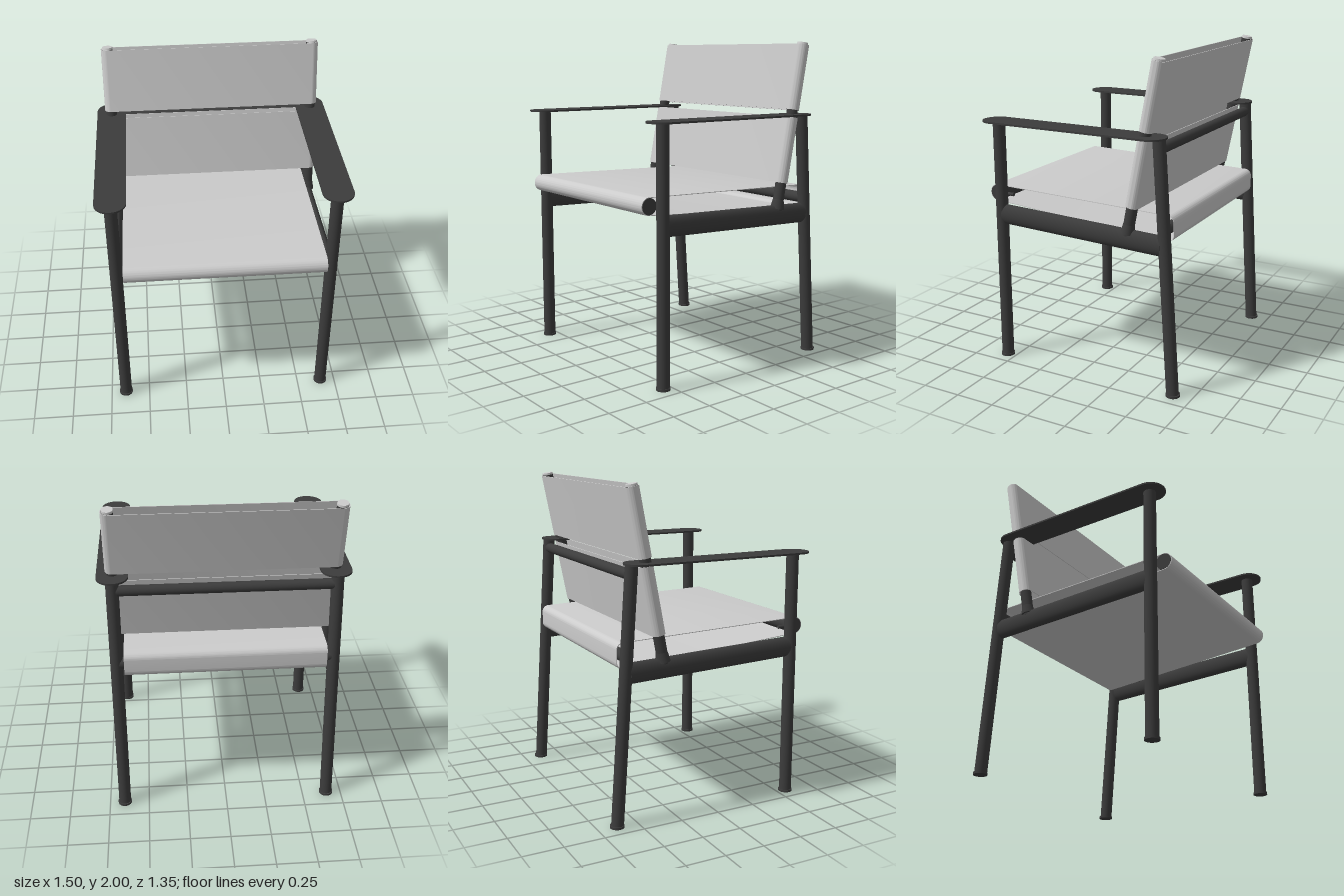
import * as THREE from 'three';
import { toCreasedNormals } from 'three/addons/utils/BufferGeometryUtils.js';

const dark = new THREE.MeshStandardMaterial({ color: 0x3c3c3c });
const fabric = new THREE.MeshStandardMaterial({ color: 0xcccccc, side: THREE.DoubleSide });
const cap = new THREE.MeshStandardMaterial({ color: 0xcccccc });
const UP = new THREE.Vector3(0, 1, 0);
const SIDE_X = 0.655;

function add(parent, name, geometry, material) {
  const mesh = new THREE.Mesh(geometry, material);
  mesh.name = name;
  parent.add(mesh);
  return mesh;
}

// Round or oval bar between two points
function bar(parent, name, a, b, r, material = dark, rEnd = r, widthScale = 1) {
  const from = new THREE.Vector3(...a), to = new THREE.Vector3(...b);
  const dir = to.clone().sub(from);
  const mesh = add(parent, name, new THREE.CylinderGeometry(rEnd, r, dir.length(), 32), material);
  mesh.scale.x = widthScale;
  mesh.position.copy(from).add(to).multiplyScalar(0.5);
  mesh.quaternion.setFromUnitVectors(UP, dir.normalize());
  return mesh;
}

// Outline stretched around circles [x, y, r] listed counterclockwise
function wrap(path, circles, inset = 0) {
  const n = circles.length;
  const normals = circles.map(([x, y, r], i) => {
    const [x2, y2, r2] = circles[(i + 1) % n];
    const dx = x2 - x, dy = y2 - y;
    return Math.atan2(dy, dx) - Math.acos((r - r2) / Math.hypot(dx, dy));
  });
  circles.forEach(([x, y, r], i) => {
    const start = normals[(i + n - 1) % n];
    let end = normals[i];
    while (end <= start) end += Math.PI * 2;
    while (end - start > Math.PI * 2) end -= Math.PI * 2;
    path.absarc(x, y, r - inset, start, end, false);
  });
  return path;
}

// Extruded wrap; with a thickness it becomes a hollow sleeve
function wrapped(circles, depth, thickness = 0) {
  const shape = wrap(new THREE.Shape(), circles);
  if (thickness) shape.holes.push(wrap(new THREE.Path(), circles, thickness));
  const g = new THREE.ExtrudeGeometry(shape, { depth, bevelEnabled: false, curveSegments: 20 });
  return toCreasedNormals(g, 0.6);
}

function createSide(s) {
  const side = new THREE.Group();
  side.name = s > 0 ? 'leftSide' : 'rightSide';
  const x = s * SIDE_X;
  bar(side, 'frontLeg', [x, 0, 0.56], [x, 1.548, 0.56], 0.038);
  bar(side, 'rearLeg', [x, 0.003, -0.63], [x, 1.548, -0.526], 0.038);
  for (const z of [0.56, -0.632]) bar(side, 'foot', [x, 0, z], [x, 0.014, z], 0.043);
  bar(side, 'sideRail', [x, 0.962, 0.55], [x, 0.925, -0.55], 0.063, dark, 0.063, 0.57);

  // Thin armrest with round ends
  const arm = wrapped([[x, 0.565, 0.093], [x, -0.542 + 0.065, 0.093]].map(
    ([px, pz, r]) => [px, -pz, r]).reverse(), 0.011);
  arm.rotateX(-Math.PI / 2);
  add(side, 'armrest', arm, dark).position.y = 1.545;

  // Pin holding the front seat tube to the leg
  bar(side, 'tubePin', [s * 0.6, 1.075, 0.6], [s * 0.6, 1.075, 0.508], 0.011);
  return side;
}

function createSeat() {
  const seat = new THREE.Group();
  seat.name = 'seat';
  // Fabric loop: round at the front, tall at the back
  const loop = wrapped([[0.622, 1.077, 0.053], [-0.562, 1.056, 0.042], [-0.562, 0.982, 0.042]], 1.22, 0.004);
  loop.translate(0, 0, -0.61);
  loop.rotateY(-Math.PI / 2);
  add(seat, 'seatSling', loop, fabric);
  bar(seat, 'frontTube', [-0.612, 1.077, 0.622], [0.612, 1.077, 0.622], 0.049);
  bar(seat, 'rearTube', [-0.64, 1.02, -0.562], [0.64, 1.02, -0.562], 0.034);
  return seat;
}

function createBackrest() {
  const back = new THREE.Group();
  back.name = 'backrest';
  back.position.set(0, 0.98, -0.33);
  back.rotation.x = -Math.atan(0.192);
  for (const s of [-1, 1]) {
    const x = s * SIDE_X;
    bar(back, 'backPost', [x, -0.02, 0], [x, 1.02, 0], 0.034);
    bar(back, 'postFlare', [x, -0.01, 0], [x, 0.05, 0], 0.044, dark, 0.034);
    bar(back, 'postCap', [x, 1.018, 0], [x, 1.031, 0], 0.035, cap, 0.033);
  }
  // Two fabric sleeves stretched round both posts
  for (const [name, y0, y1] of [['lowerBackSling', 0.155, 0.565], ['upperBackSling', 0.612, 1.018]]) {
    const sleeve = wrapped([[-SIDE_X, 0, 0.041], [SIDE_X, 0, 0.041]], y1 - y0, 0.004);
    sleeve.rotateX(-Math.PI / 2);
    add(back, name, sleeve, fabric).position.y = y0;
  }
  return back;
}

export function createModel() {
  const chair = new THREE.Group();
  chair.name = 'armchair';
  chair.add(createSide(1), createSide(-1), createSeat(), createBackrest());
  // Crossbar between the tops of the rear legs
  bar(chair, 'rearCrossbar', [-SIDE_X, 1.49, -0.53], [SIDE_X, 1.49, -0.53], 0.032);
  return chair;
}
